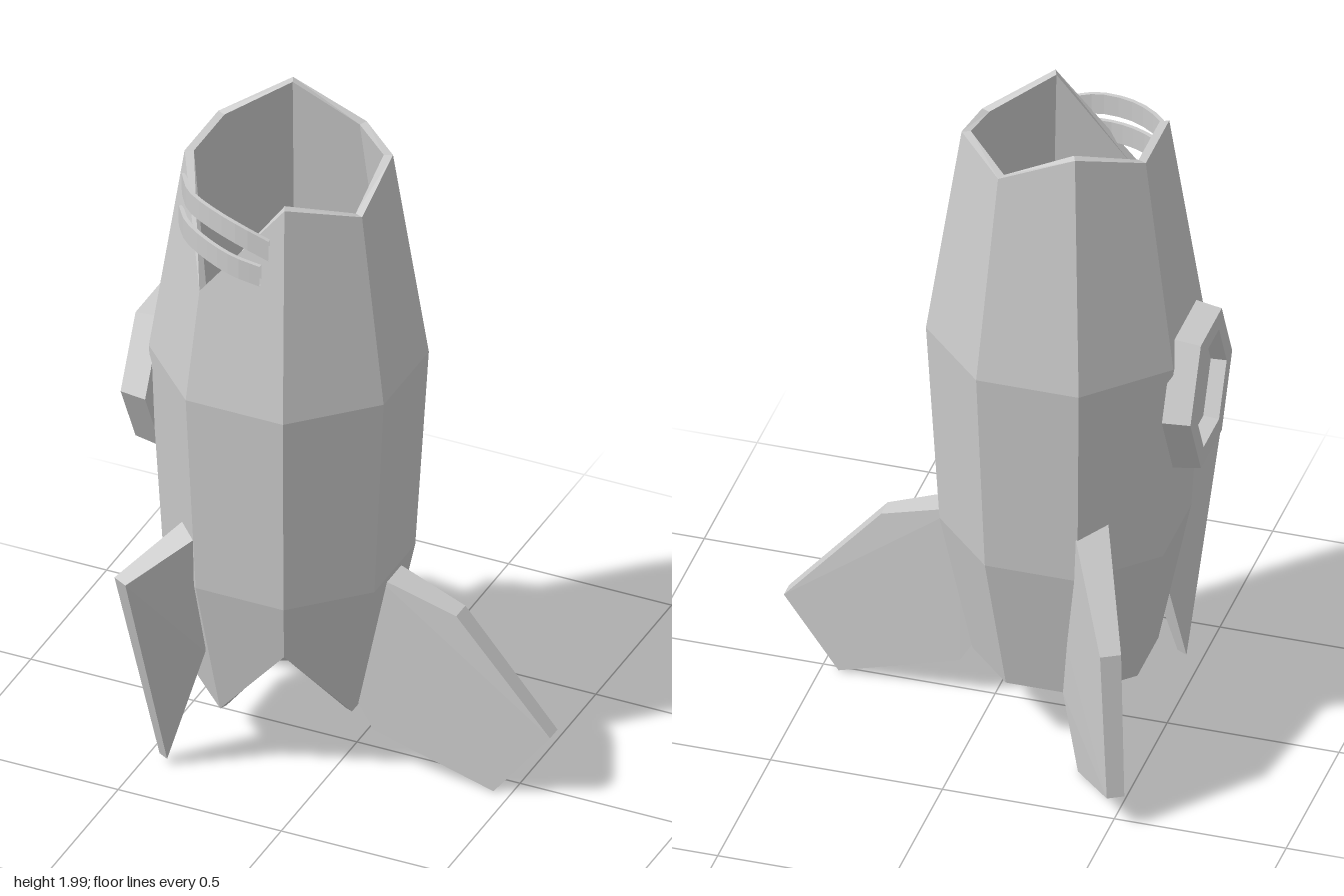
import * as THREE from 'three';
import { ConvexGeometry } from 'three/addons/geometries/ConvexGeometry.js';

const CX = -0.195, CZ = 0.03, SIDES = 8, WALL = 0.024;
const material = new THREE.MeshStandardMaterial({ color: 0xcccccc, flatShading: true, side: THREE.DoubleSide });

function add(parent, name, geometry) {
  const mesh = new THREE.Mesh(geometry, material);
  mesh.name = name;
  parent.add(mesh);
  return mesh;
}

// Joins a list of cross-sections (loops of points) into quads.
function loft(rings, closeRings, closeLoop) {
  const pos = [], n = rings[0].length;
  const rows = closeRings ? rings.length : rings.length - 1;
  const cols = closeLoop ? n : n - 1;
  for (let i = 0; i < rows; i++) {
    for (let j = 0; j < cols; j++) {
      const r0 = rings[i], r1 = rings[(i + 1) % rings.length], k = (j + 1) % n;
      const [a, b, c, d] = [r0[j], r0[k], r1[k], r1[j]];
      for (const p of [a, d, c, a, c, b]) pos.push(...p);
    }
  }
  const g = new THREE.BufferGeometry();
  g.setAttribute('position', new THREE.Float32BufferAttribute(pos, 3));
  g.computeVertexNormals();
  return g;
}

// Hull radius (to the flat sides) by height.
const PROFILE = [[0.2, 0.24], [0.64, 0.325], [1.28, 0.36], [1.93, 0.268]];
function radiusAt(y) {
  let i = 0;
  while (i < PROFILE.length - 2 && y > PROFILE[i + 1][0]) i++;
  const [y0, r0] = PROFILE[i], [y1, r1] = PROFILE[i + 1];
  return r0 + (r1 - r0) * (y - y0) / (y1 - y0);
}

// One octagonal ring; each corner can have its own height.
function hullRing(heights, inset) {
  return heights.map((y, j) => {
    const a = (j + 0.5) * Math.PI * 2 / SIDES;
    const r = (radiusAt(y) - inset) / Math.cos(Math.PI / SIDES);
    return [CX + r * Math.cos(a), y, CZ + r * Math.sin(a)];
  });
}

// Fin from centre points [x, y, z, halfThickness], thickened along a horizontal direction.
function finGeometry(points, nx, nz) {
  const corners = [];
  for (const [x, y, z, h] of points) {
    for (const s of [-h, h]) corners.push(new THREE.Vector3(x + s * nx, y, z + s * nz));
  }
  return new ConvexGeometry(corners);
}

// Thin curved strap from [x, topY, z] points, with a height and thickness.
function strapGeometry(points, height) {
  const curve = new THREE.CatmullRomCurve3(points.map(p => new THREE.Vector3(...p)));
  const sections = curve.getPoints(10).map((p, i) => {
    const t = curve.getTangent(i / 10);
    const out = new THREE.Vector3(-t.z, 0, t.x).normalize().multiplyScalar(0.012);
    return [
      [p.x, p.y, p.z], [p.x + out.x, p.y, p.z + out.z],
      [p.x + out.x, p.y - height, p.z + out.z], [p.x, p.y - height, p.z],
    ];
  });
  return loft(sections, false, true);
}

export function createModel() {
  const group = new THREE.Group();
  group.name = 'brokenRocket';

  // Hollow hull with a jagged rim on top and a notch at the base
  const level = y => Array(SIDES).fill(y);
  const base = [0.2, 0.46, 0.2, 0.2, 0.2, 0.2, 0.2, 0.2];
  const rim = [1.86, 1.925, 1.62, 1.93, 1.93, 2.0, 1.905, 1.93];
  const stack = [base, level(0.64), level(1.28), rim];
  const outer = stack.map(h => hullRing(h, 0));
  const inner = stack.map(h => hullRing(h, WALL)).reverse();
  add(group, 'hull', loft([...outer, ...inner], true, true));

  // Floor inside the hull
  const floor = add(group, 'floor', new THREE.CircleGeometry(
    (0.325 - WALL / 2) / Math.cos(Math.PI / SIDES), SIDES, Math.PI / SIDES));
  floor.rotation.x = -Math.PI / 2;
  floor.position.set(CX, 0.64, CZ);

  // Three bent fins, each knocked to its own angle
  add(group, 'sideFin', finGeometry([
    [0.09, 0.63, 0.025, 0.05], [0.33, 0.55, 0.025, 0.03], [0.615, 0.22, 0.025, 0.025],
    [0.45, 0.01, 0.025, 0.043], [0.09, 0.13, 0.025, 0.065], [0.03, 0.23, 0.025, 0.065],
  ], 0, 1));
  const backProfile = [
    [0.33, 0.81, 0.05], [0.59, 0.54, 0.03], [0.655, 0.11, 0.025],
    [0.36, 0.01, 0.043], [0.24, 0.2, 0.06], [0.26, 0.4, 0.06],
  ];
  add(group, 'backFin', finGeometry(
    backProfile.map(([r, y, h]) => [CX - r * 0.49, y, CZ - r * 0.87, h]), 0.87, -0.49));
  add(group, 'frontFin', finGeometry([
    [-0.345, 0.82, 0.3, 0.045], [-0.483, 0.72, 0.525, 0.026],
    [-0.445, 0.03, 0.32, 0.018], [-0.365, 0.39, 0.27, 0.04],
  ], 0.87, 0.49));

  // Hexagonal porthole frame with a recessed pane
  const porthole = new THREE.Group();
  porthole.name = 'porthole';
  const hexagon = (x, scale) => Array.from({ length: 6 }, (_, i) => {
    const a = i * Math.PI / 3;
    return [x, 1.137 + 0.215 * scale * Math.sin(a) * 1.155, 0.028 + 0.208 * scale * Math.cos(a)];
  });
  add(porthole, 'portholeFrame', loft(
    [hexagon(-0.54, 1), hexagon(-0.62, 0.95), hexagon(-0.62, 0.7), hexagon(-0.54, 0.66)], true, true));
  add(porthole, 'portholePane', loft([hexagon(-0.575, 0.7), hexagon(-0.575, 0)], false, true));
  group.add(porthole);

  // Two straps across the broken corner of the rim
  add(group, 'upperStrap', strapGeometry(
    [[-0.45, 1.87, 0.16], [-0.4, 1.87, 0.23], [-0.31, 1.87, 0.285], [-0.2, 1.855, 0.315], [-0.12, 1.83, 0.315]], 0.065));
  add(group, 'lowerStrap', strapGeometry(
    [[-0.45, 1.775, 0.18], [-0.4, 1.775, 0.245], [-0.31, 1.77, 0.3], [-0.22, 1.76, 0.328], [-0.14, 1.75, 0.33]], 0.065));

  return group;
}
